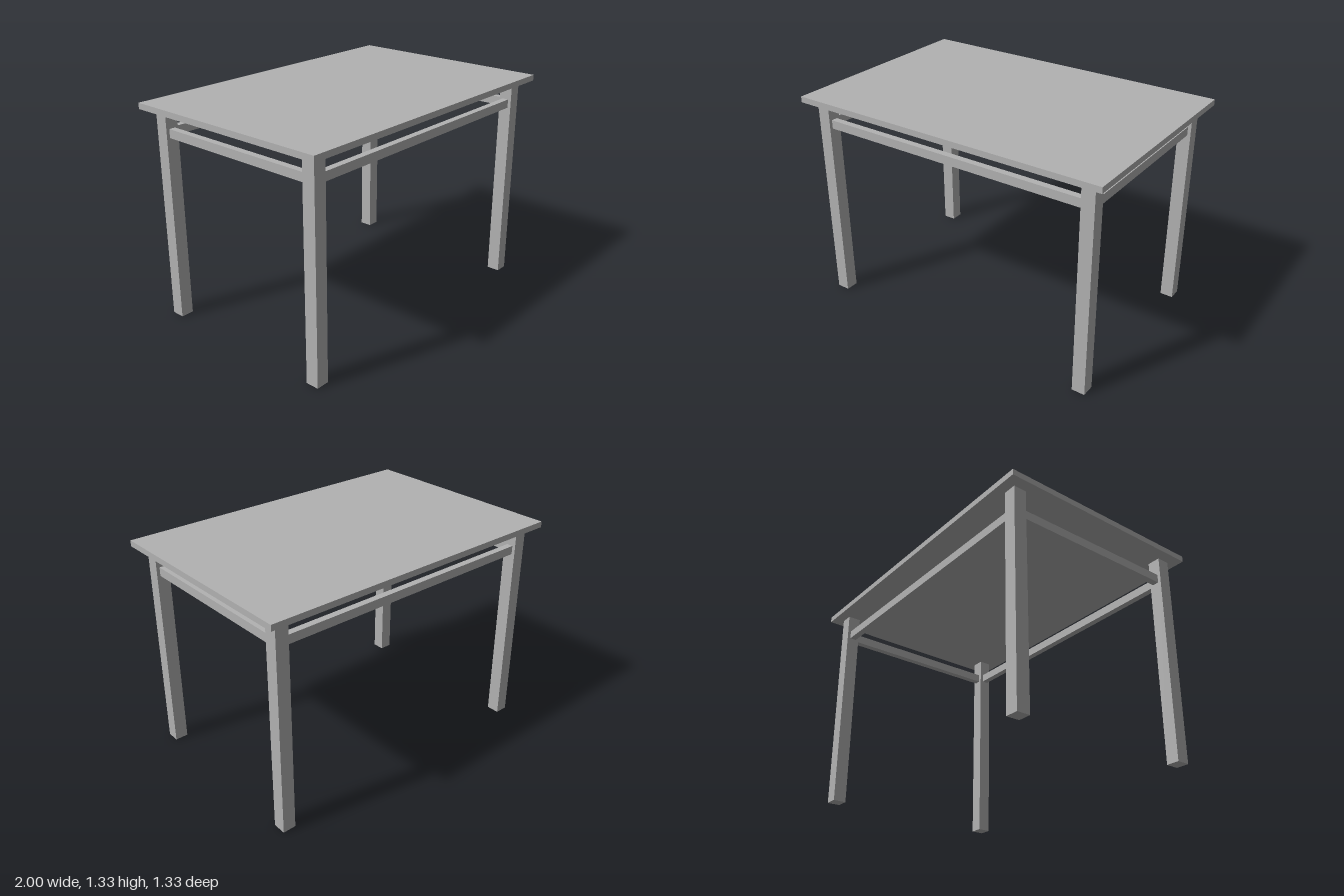
import * as THREE from 'three';

export function createModel() {
  const table = new THREE.Group();
  table.name = 'table';
  const grey = new THREE.MeshStandardMaterial({ color: 0xb2b2b2 });
  grey.name = 'plain grey';

  const box = (name, w, h, d, x, y, z) => {
    const mesh = new THREE.Mesh(new THREE.BoxGeometry(w, h, d), grey);
    mesh.name = name;
    mesh.position.set(x, y, z);
    table.add(mesh);
  };

  const height = 1.333, topThick = 0.036;
  const legH = height - topThick, legW = 0.08;
  const legX = 0.893, legZ = 0.563;
  const railH = 0.053, railW = 0.04, railY = 1.163;

  // Top board
  box('tableTop', 2, topThick, 1.333, 0, height - topThick / 2, 0);

  // Four square legs
  for (const sx of [-1, 1]) {
    for (const sz of [-1, 1]) {
      const name = (sz > 0 ? 'front' : 'back') + (sx > 0 ? 'Left' : 'Right') + 'Leg';
      box(name, legW, legH, legW, sx * legX, legH / 2, sz * legZ);
    }
  }

  // Rails between the legs, centred on the leg thickness
  for (const s of [-1, 1]) {
    box(s > 0 ? 'frontRail' : 'backRail', 2 * legX - legW, railH, railW, 0, railY, s * legZ);
    box(s > 0 ? 'leftRail' : 'rightRail', railW, railH, 2 * legZ - legW, s * legX, railY, 0);
  }

  return table;
}
